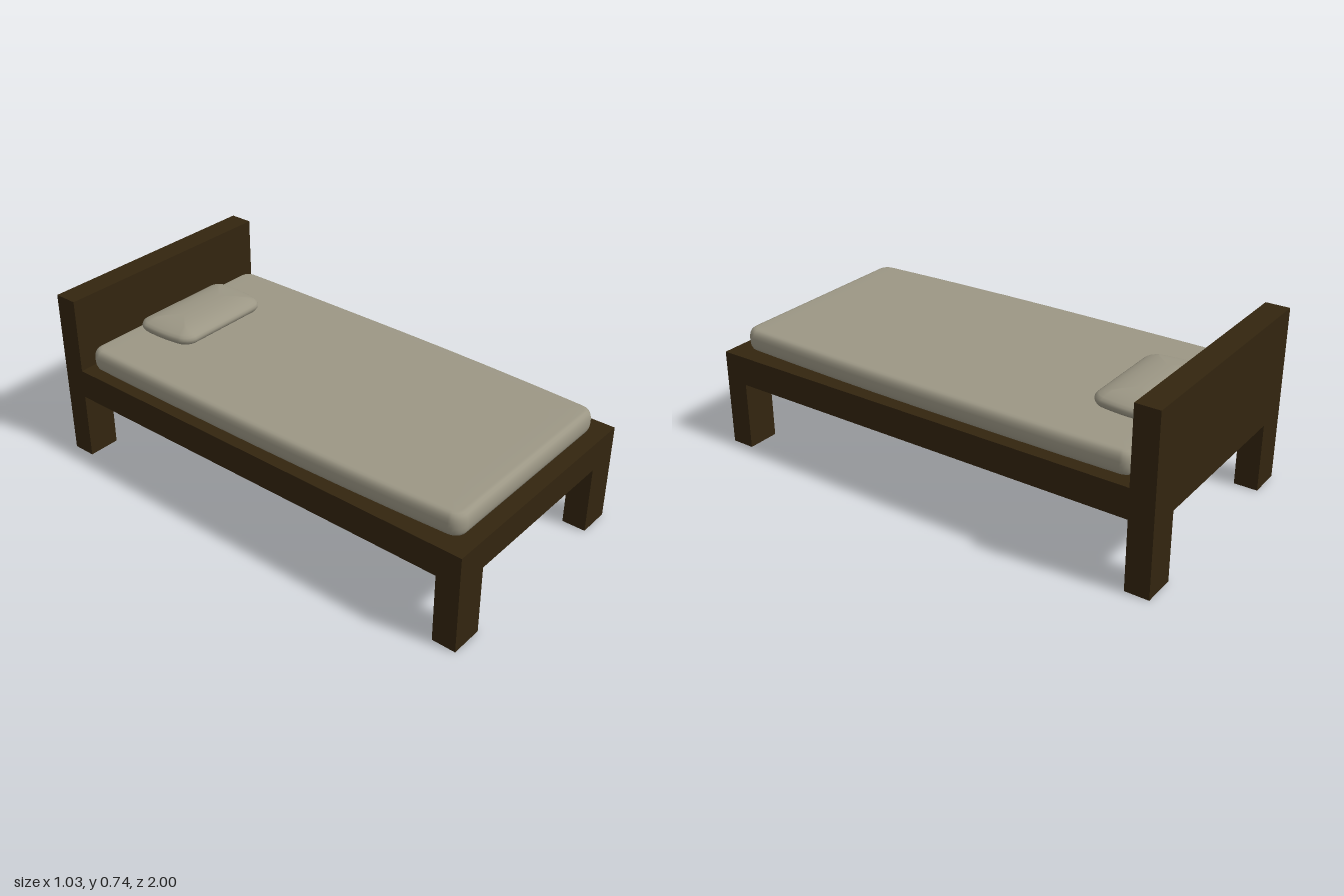
import * as THREE from 'three';

const wood = new THREE.MeshStandardMaterial({ color: 0x33250f });
wood.name = 'dark wood';
const linen = new THREE.MeshStandardMaterial({ color: 0x9c9785 });
linen.name = 'grey linen';

// Rounded rectangle in x/z, with extra points along each edge
function outline(hx, hz, r, arc = 6, edge = 8) {
  const pts = [];
  const corners = [[1, 1], [-1, 1], [-1, -1], [1, -1]];
  corners.forEach(([sx, sz], k) => {
    const corner = [];
    for (let i = 0; i <= arc; i++) {
      const a = (k + i / arc) * Math.PI / 2;
      corner.push([sx * (hx - r) + r * Math.cos(a), sz * (hz - r) + r * Math.sin(a)]);
    }
    pts.push(...corner);
    const [nx, nz] = corners[(k + 1) % 4];
    const a = (k + 1) * Math.PI / 2;
    const end = [nx * (hx - r) + r * Math.cos(a), nz * (hz - r) + r * Math.sin(a)];
    const start = corner[arc];
    for (let i = 1; i < edge; i++) {
      const t = i / edge;
      pts.push([start[0] + (end[0] - start[0]) * t, start[1] + (end[1] - start[1]) * t]);
    }
  });
  return pts;
}

// Soft body lofted from [inset, height] rings, bottom to top; widthAt(v) shapes
// its sides, v running from -1 at the back to 1 at the front
function cushion(name, hx, hz, r, rings, widthAt) {
  const pos = [], index = [];
  let n = 0;
  for (const [inset, y] of rings) {
    const ring = outline(hx - inset, hz - inset, Math.max(r - inset * 0.7, 0.002));
    n = ring.length;
    for (const [x, z] of ring) pos.push(x * widthAt(z / hz), y, z);
  }
  const last = (rings.length - 1) * n;
  const bottom = rings.length * n, top = bottom + 1;
  pos.push(0, rings[0][1], 0, 0, rings[rings.length - 1][1], 0);
  for (let j = 0; j < n; j++) {
    const k = (j + 1) % n;
    for (let i = 0; i < last; i += n) {
      index.push(i + j, i + n + j, i + k, i + k, i + n + j, i + n + k);
    }
    index.push(bottom, j, k, top, last + k, last + j);
  }
  const geo = new THREE.BufferGeometry();
  geo.setAttribute('position', new THREE.Float32BufferAttribute(pos, 3));
  geo.setIndex(index);
  geo.computeVertexNormals();
  const mesh = new THREE.Mesh(geo, linen);
  mesh.name = name;
  return mesh;
}

export function createModel() {
  const bed = new THREE.Group();
  bed.name = 'bed';

  const board = (name, w, h, d, x, y, z) => {
    const mesh = new THREE.Mesh(new THREE.BoxGeometry(w, h, d), wood);
    mesh.name = name;
    mesh.position.set(x, y + h / 2, z);
    bed.add(mesh);
  };

  // Frame and headboard
  board('bedFrame', 1.03, 0.125, 1.9, 0, 0.292, 0.05);
  board('headboard', 1.03, 0.445, 0.1, 0, 0.292, -0.95);

  // Four legs
  for (const [side, sx] of [['Left', 1], ['Right', -1]]) {
    for (const [end, sz] of [['front', 1], ['back', -1]]) {
      board(`${end}${side}Leg`, 0.14, 0.292, 0.1, sx * 0.445, 0, sz * 0.95);
    }
  }

  // Mattress, narrowing a little towards the foot
  const mattress = cushion('mattress', 0.48, 0.915, 0.05, [
    [0.06, 0], [0.02, 0.001], [0.008, 0.008], [0.002, 0.022], [0, 0.04], [0, 0.058],
    [0.003, 0.074], [0.009, 0.086], [0.018, 0.093], [0.03, 0.095], [0.08, 0.096], [0.2, 0.096],
  ], (v) => 1 - 0.06 * Math.max(0, (v + 0.1) / 1.1) ** 2 - 0.01 * Math.max(0, -v) ** 4);
  mattress.position.set(0, 0.419, 0.03);
  bed.add(mattress);

  // Pillow, domed to a ridge across its width
  const pillow = cushion('pillow', 0.247, 0.142, 0.05, [
    [0.06, 0], [0.02, 0], [0.008, 0.006], [0.001, 0.016], [0, 0.026], [0.004, 0.036],
    [0.015, 0.044], [0.035, 0.052], [0.06, 0.059], [0.09, 0.063], [0.12, 0.065], [0.138, 0.065],
  ], (v) => 1 - 0.1 * Math.max(0, (v + 0.3) / 1.3) ** 2 - 0.04 * Math.max(0, -v) ** 3);
  pillow.position.set(0.007, 0.513, -0.712);
  bed.add(pillow);

  return bed;
}
